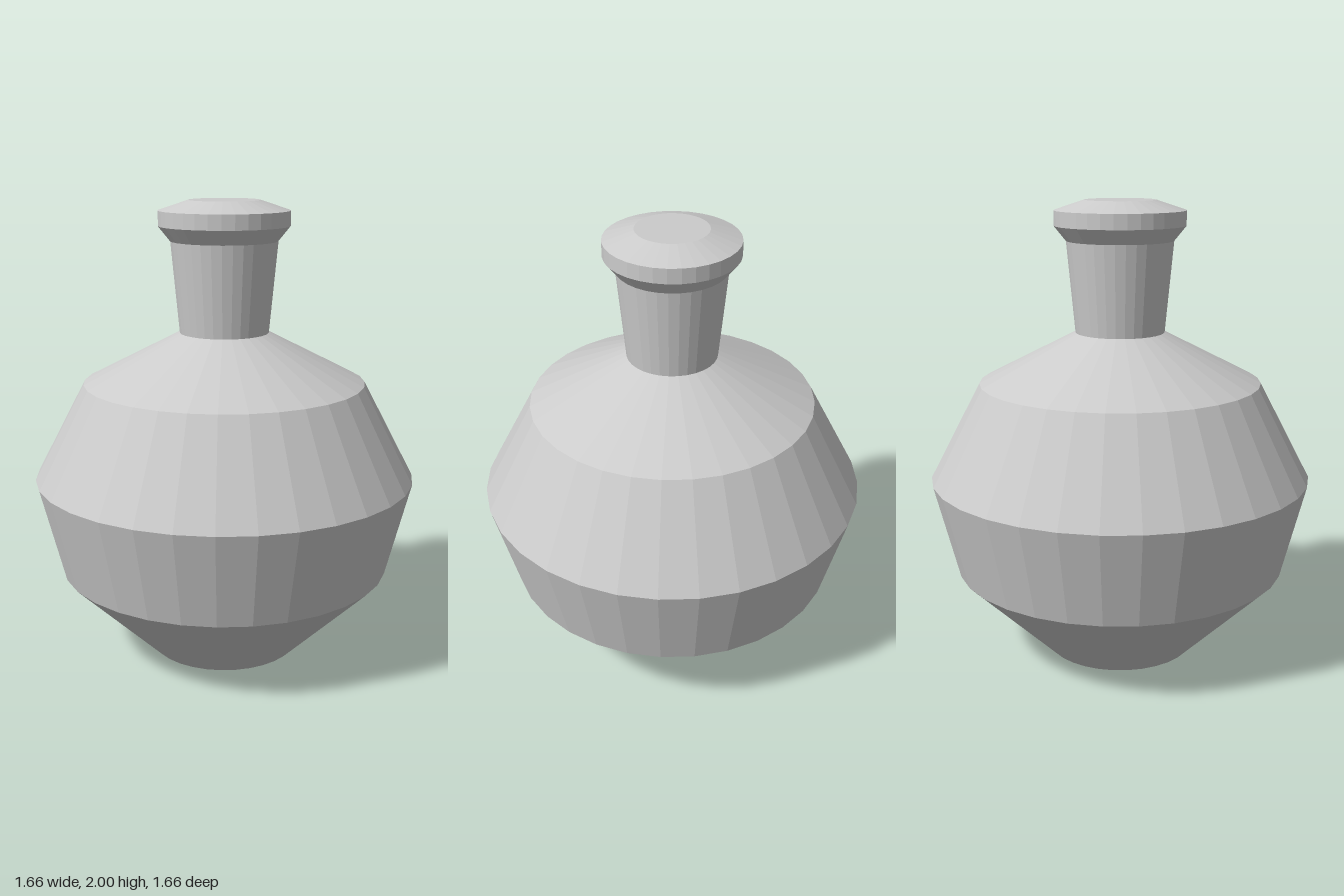
import * as THREE from 'three';

const SIDES = 32;

export function createModel() {
  const flask = new THREE.Group();
  flask.name = 'flask';
  const material = new THREE.MeshStandardMaterial({ color: 0xcccccc, flatShading: true });

  // Faceted ring of walls from a [radius, height] profile, listed bottom to top
  function turned(name, profile) {
    const points = profile.map(([r, y]) => new THREE.Vector2(r, y));
    const geometry = new THREE.LatheGeometry(points, SIDES).toNonIndexed();
    geometry.computeVertexNormals();
    const mesh = new THREE.Mesh(geometry, material);
    mesh.name = name;
    flask.add(mesh);
  }

  // Flat disc closing an end
  function disc(name, radius, y, facing) {
    const geometry = new THREE.CircleGeometry(radius, SIDES);
    geometry.rotateX(-facing * Math.PI / 2);
    geometry.translate(0, y, 0);
    const mesh = new THREE.Mesh(geometry, material);
    mesh.name = name;
    flask.add(mesh);
  }

  // Bulbous body with a sharp belly and sloping shoulder
  disc('base', 0.33, 0, -1);
  turned('body', [[0.33, 0], [0.727, 0.39], [0.832, 0.807], [0.612, 1.224], [0.193, 1.44]]);

  // Neck widening upwards
  turned('neck', [[0.193, 1.44], [0.23, 1.83]]);

  // Flared lip and closed, bevelled top
  turned('lip', [[0.23, 1.83], [0.281, 1.893], [0.281, 1.957]]);
  turned('stopperBevel', [[0.281, 1.957], [0.152, 2]]);
  disc('stopperTop', 0.152, 2, 1);

  return flask;
}
